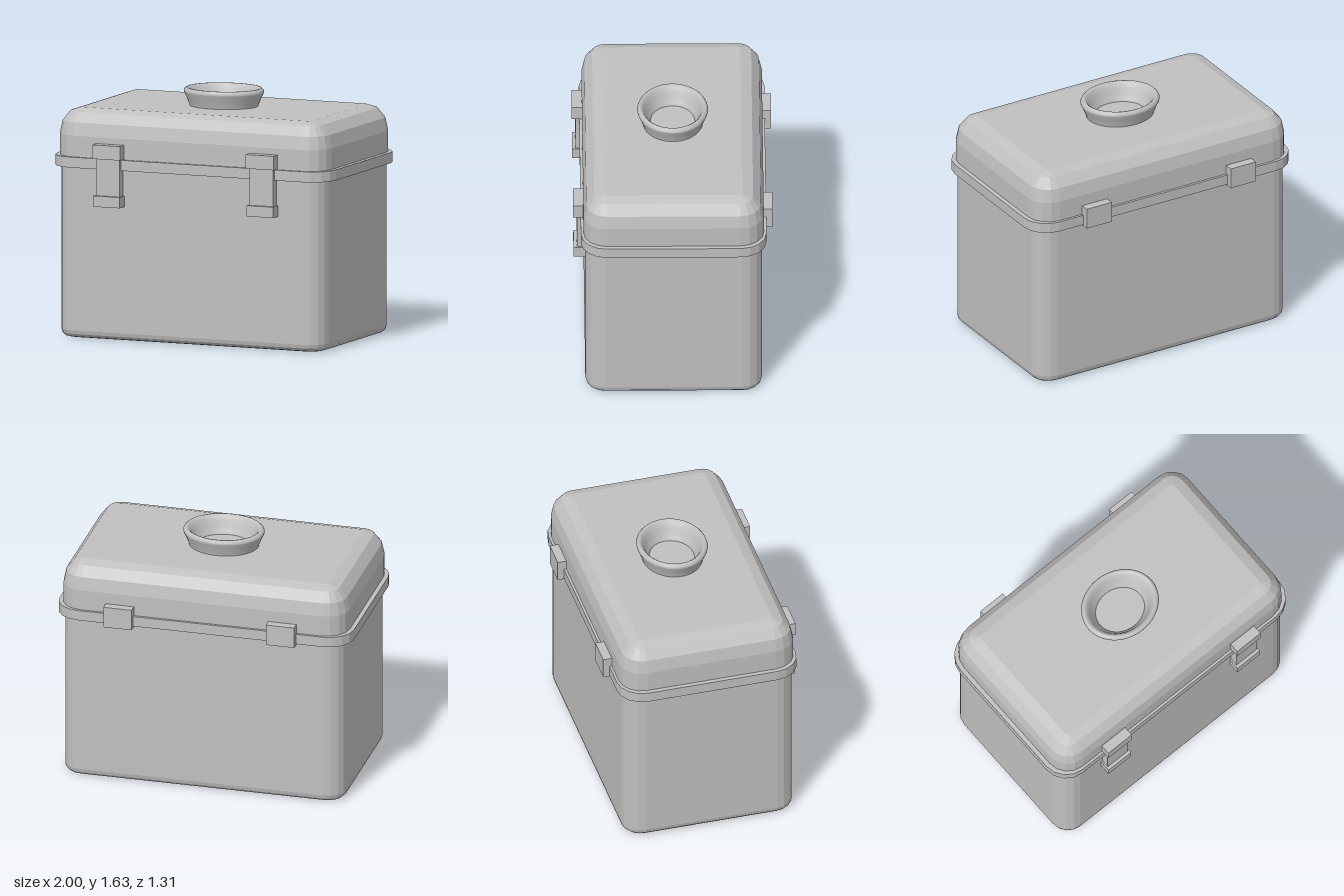
import * as THREE from 'three';

const grey = new THREE.MeshStandardMaterial({ color: 0xc0c0c0 });
grey.name = 'plain grey';

// Rounded rectangle outline, counter-clockwise in (x, -z).
function outline(hx, hz, r, segs = 4) {
  const pts = [];
  for (let c = 0; c < 4; c++) {
    const cx = (c === 0 || c === 3 ? 1 : -1) * (hx - r);
    const cz = (c < 2 ? 1 : -1) * (hz - r);
    for (let i = 0; i <= segs; i++) {
      const a = (c + i / segs) * Math.PI / 2;
      pts.push([cx + r * Math.cos(a), -(cz + r * Math.sin(a))]);
    }
  }
  return pts;
}

// Closed faceted solid lofted through rounded rectangles; levels are [y, inset], bottom to top.
function loft(name, hx, hz, r, levels) {
  const pos = [];
  const rings = levels.map(([y, d]) =>
    outline(hx - d, hz - d, r - d).map(([x, z]) => [x, y, z]));
  const n = rings[0].length;
  const last = rings[rings.length - 1];
  const bottom = [0, levels[0][0], 0];
  const top = [0, levels[levels.length - 1][0], 0];
  for (let i = 0; i < n; i++) {
    const j = (i + 1) % n;
    for (let k = 0; k + 1 < rings.length; k++) {
      const a = rings[k][i], b = rings[k][j], c = rings[k + 1][j], d = rings[k + 1][i];
      pos.push(...a, ...b, ...c, ...a, ...c, ...d);
    }
    pos.push(...bottom, ...rings[0][j], ...rings[0][i]);
    pos.push(...top, ...last[i], ...last[j]);
  }
  const geo = new THREE.BufferGeometry();
  geo.setAttribute('position', new THREE.Float32BufferAttribute(pos, 3));
  geo.computeVertexNormals();
  const mesh = new THREE.Mesh(geo, grey);
  mesh.name = name;
  return mesh;
}

// Box given by its centre x, width, y range and z range.
function block(name, x, w, y0, y1, z0, z1) {
  const mesh = new THREE.Mesh(new THREE.BoxGeometry(w, y1 - y0, z1 - z0), grey);
  mesh.position.set(x, (y0 + y1) / 2, (z0 + z1) / 2);
  mesh.name = name;
  return mesh;
}

// Quarter-ellipse bevel levels.
function bevel(y, h, d, steps, up) {
  const levels = [];
  for (let i = 0; i <= steps; i++) {
    const a = (i / steps) * Math.PI / 2;
    levels.push([y + (up ? 1 : -1) * h * Math.sin(a), d * (1 - Math.cos(a))]);
  }
  return up ? levels : levels.reverse();
}

export function createModel() {
  const model = new THREE.Group();
  model.name = 'coolBox';

  // Body, rim and lid
  const shell = new THREE.Group();
  shell.name = 'shell';
  shell.position.z = -0.004;
  shell.add(
    loft('body', 0.955, 0.58, 0.13, [...bevel(0.05, 0.05, 0.05, 3, false), [1.15, 0]]),
    loft('rim', 1, 0.609, 0.17, [[1.132, 0], [1.202, 0]]),
    loft('lid', 0.97, 0.592, 0.155, [[1.19, 0], ...bevel(1.342, 0.173, 0.14, 3, true)]),
  );

  // Flared oval ring on the lid
  const profile = [
    [0.23, 1.505], [0.233, 1.525], [0.252, 1.57], [0.268, 1.603], [0.27, 1.613], [0.265, 1.624], [0.255, 1.634],
    [0.243, 1.634], [0.228, 1.622], [0.212, 1.595], [0.197, 1.56], [0.183, 1.535], [0.17, 1.518], [0.17, 1.505],
  ].map(([x, y]) => new THREE.Vector2(x, y));
  const ring = new THREE.Mesh(new THREE.LatheGeometry(profile, 48), grey);
  ring.scale.z = 0.86;
  ring.name = 'lidRing';
  shell.add(ring);
  model.add(shell);

  // Front latches and back hinges
  for (const x of [-0.553, 0.551]) {
    const latch = new THREE.Group();
    latch.name = x > 0 ? 'leftLatch' : 'rightLatch';
    latch.add(
      block('latchCatch', x, 0.2, 1.207, 1.3, 0.57, 0.655),
      block('latchStrap', x, 0.17, 0.95, 1.21, 0.57, 0.63),
      block('latchFoot', x, 0.192, 0.89, 0.962, 0.57, 0.652),
    );
    model.add(latch, block(x > 0 ? 'leftHinge' : 'rightHinge', x, 0.192, 1.122, 1.265, -0.655, -0.59));
  }
  return model;
}
